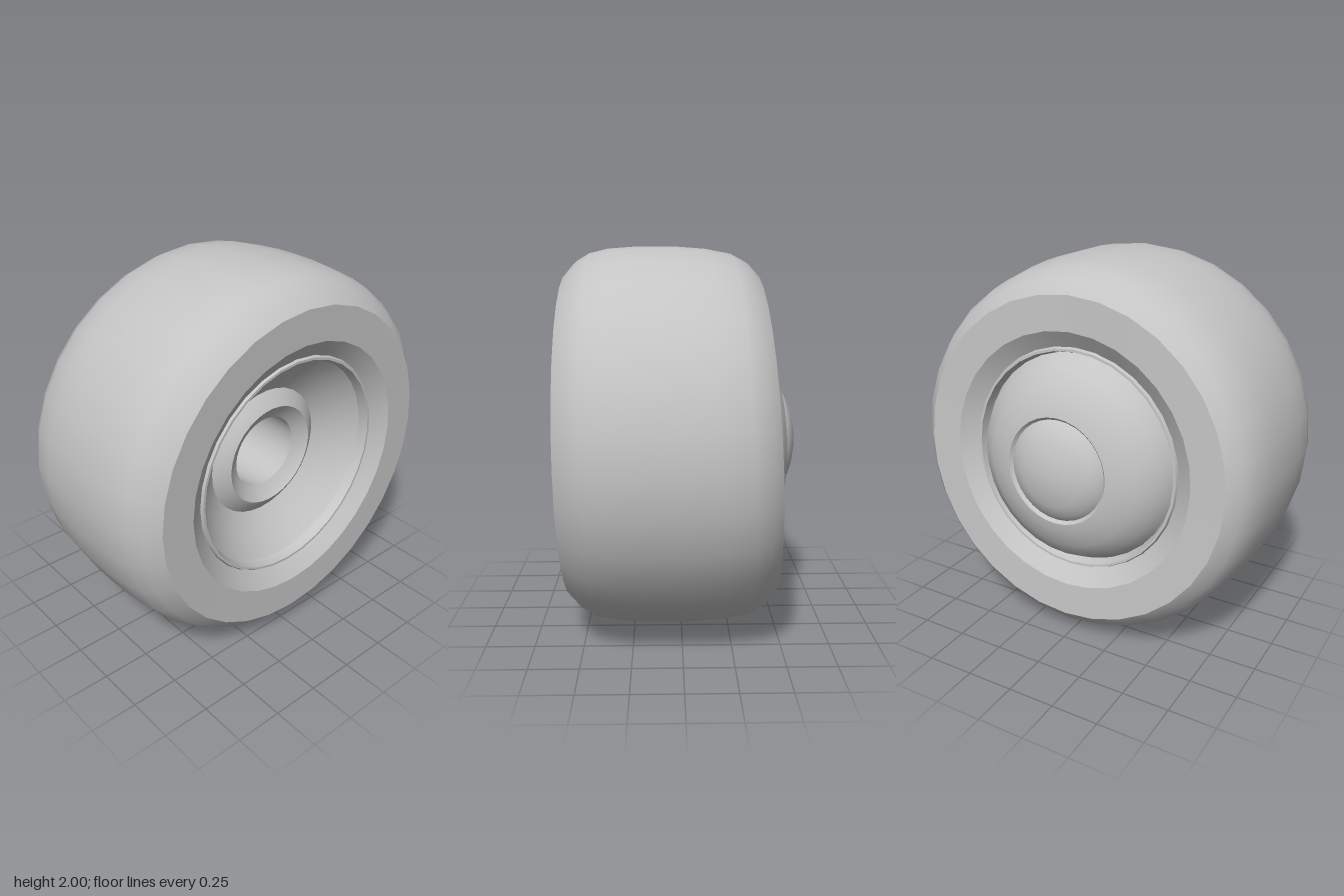
import * as THREE from 'three';
import { toCreasedNormals } from 'three/addons/utils/BufferGeometryUtils.js';

const SEGMENTS = 32;

// Slight lean of the wheel: strong on the domed (-x) side, faint on the dished (+x) side
function lean(geometry) {
  const p = geometry.attributes.position;
  for (let i = 0; i < p.count; i++) {
    const x = p.getX(i), y = p.getY(i), z = p.getZ(i);
    const t = THREE.MathUtils.clamp((x + 0.44) / 1.03, 0, 1);
    const tiltY = THREE.MathUtils.lerp(0.05, 0.0105, t);
    const tiltZ = THREE.MathUtils.lerp(0.009, 0.003, t);
    p.setXYZ(i, x + tiltY * y + tiltZ * z, y + 1, z);
  }
}

// Spins a profile of [radius, x] points about the x axis
function spin(name, profile, material, crease = 0.5) {
  const points = profile.map(([r, x]) => new THREE.Vector2(r, x));
  const geometry = new THREE.LatheGeometry(points, SEGMENTS);
  geometry.rotateZ(-Math.PI / 2);
  lean(geometry);
  const mesh = new THREE.Mesh(toCreasedNormals(geometry, crease), material);
  mesh.name = name;
  return mesh;
}

export function createModel() {
  const wheel = new THREE.Group();
  wheel.name = 'wheel';
  const grey = new THREE.MeshStandardMaterial({ color: 0xc4c4c4 });
  grey.name = 'grey';

  // Tyre with rounded shoulders, flat sidewalls and bevelled inner edges
  wheel.add(spin('tyre', [
    [0.59, -0.375], [0.68, -0.437], [0.857, -0.44],
    [0.92, -0.385], [0.962, -0.305], [0.987, -0.17], [0.998, -0.02], [1, 0.1],
    [0.998, 0.22], [0.988, 0.36], [0.965, 0.46], [0.925, 0.53], [0.857, 0.592],
    [0.68, 0.59], [0.59, 0.528],
  ], grey, 0.57));

  // Rim barrel with a raised lip on both sides
  wheel.add(spin('rim', [
    [0.555, -0.34], [0.57, -0.39], [0.583, -0.39], [0.592, -0.37],
    [0.592, 0.52], [0.583, 0.54], [0.57, 0.54], [0.555, 0.49],
  ], grey));

  // Bulging disc on the domed side
  wheel.add(spin('bulgedDisc', [
    [0.265, -0.525], [0.28, -0.541], [0.33, -0.53], [0.42, -0.49],
    [0.5, -0.435], [0.555, -0.34],
  ], grey, 0.6));

  // Domed cap in the middle of the disc
  wheel.add(spin('hubCap', [
    [0, -0.612], [0.09, -0.605], [0.17, -0.585], [0.23, -0.56], [0.265, -0.525],
  ], grey, 0.6));

  // Conical dish on the open side
  wheel.add(spin('dish', [
    [0.555, 0.49], [0.46, 0.4], [0.352, 0.33],
  ], grey));

  // Raised hub ring and the deep bore inside it
  wheel.add(spin('hubRing', [
    [0.352, 0.33], [0.3, 0.37], [0.272, 0.385], [0.25, 0.365], [0.195, 0.335],
  ], grey));
  wheel.add(spin('bore', [
    [0.195, 0.335], [0.195, -0.3], [0.1, -0.33], [0, -0.34],
  ], grey));

  return wheel;
}
